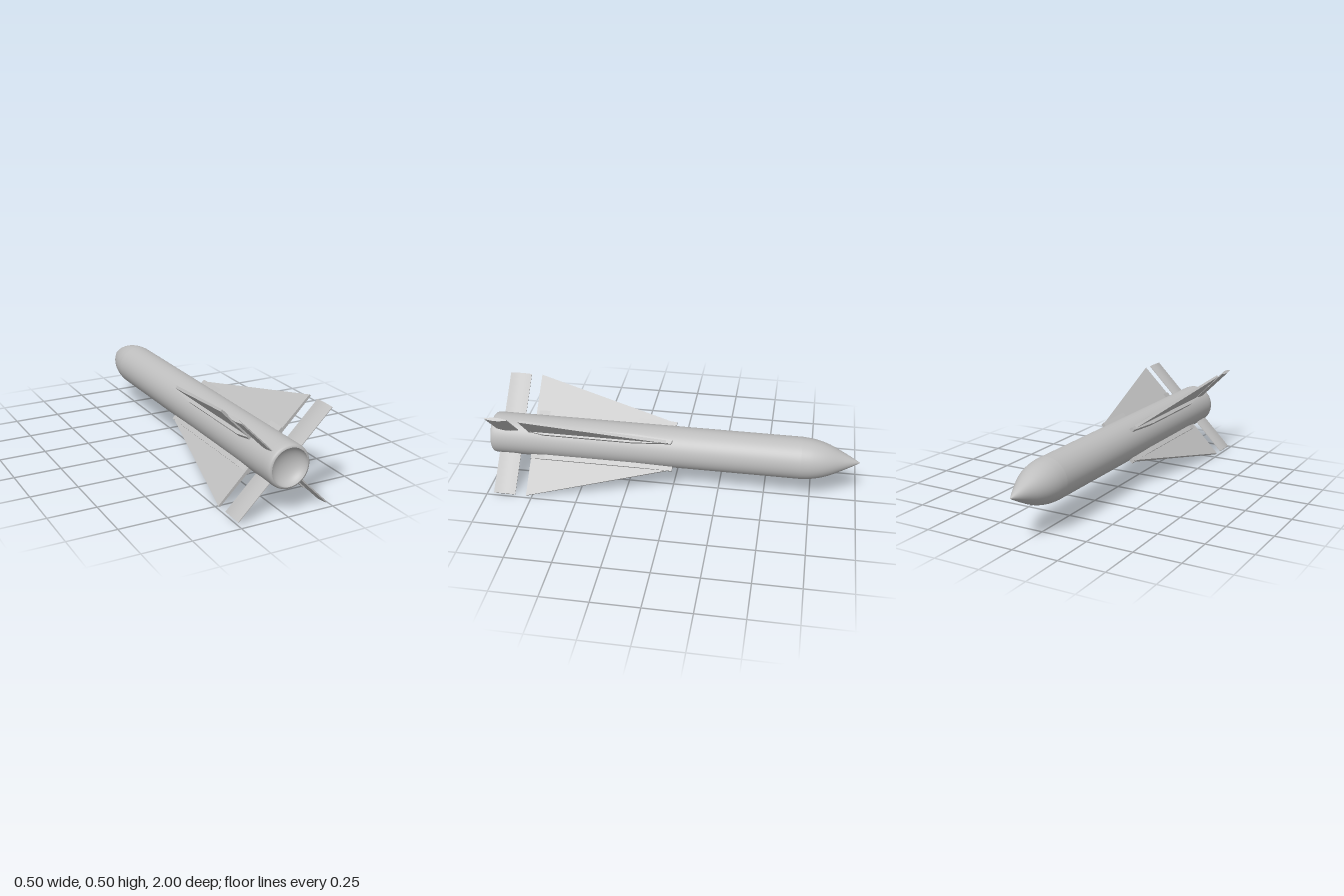
import * as THREE from 'three';
import { toCreasedNormals } from 'three/addons/utils/BufferGeometryUtils.js';

const R = 0.113;      // body radius
const SPAN = 0.342;   // fin tip distance from the axis
const OFFSET = -0.004; // fins sit slightly to one side of their radial line

export function createModel() {
  const grey = new THREE.MeshStandardMaterial({ color: 0xbfbfbf });
  grey.name = 'light grey';
  const missile = new THREE.Group();
  missile.name = 'missile';

  const add = (parent, name, geometry) => {
    const mesh = new THREE.Mesh(geometry, grey);
    mesh.name = name;
    parent.add(mesh);
  };

  // Profile of [z, radius] pairs turned about the long axis
  const turn = (profile) => new THREE.LatheGeometry(
    profile.map(([z, r]) => new THREE.Vector2(r, z)), 64).rotateX(Math.PI / 2);

  // Outline of [z, thickness] pairs stretched outward from radius r0 to r1
  const outward = (outline, r0, r1) => new THREE.ExtrudeGeometry(
    new THREE.Shape(outline.map(([z, t]) => new THREE.Vector2(-z, t))),
    { depth: r1 - r0, bevelEnabled: false }).rotateY(Math.PI / 2).translate(r0, 0, 0);

  // Mirror one side of an outline to close it
  const mirrored = (side) => [...side, ...side.map(([z, t]) => [z, -t]).reverse()];

  // Pointed nose, curving into the straight body
  const nose = new THREE.SplineCurve([
    [0.0005, -1], [0.026, -0.955], [0.054, -0.9], [0.078, -0.85],
    [0.096, -0.8], [0.108, -0.745], [R, -0.69],
  ].map((p) => new THREE.Vector2(...p))).getPoints(24).map((p) => [p.y, p.x]);
  add(missile, 'nose', turn(nose));
  add(missile, 'body', turn([[-0.69, R], [0, R], [0.95, R]]));

  // Rounded tail rim and hollow exhaust bowl
  add(missile, 'tailRim', turn([
    [0.95, R], [0.97, 0.1125], [0.985, 0.111], [0.994, 0.108], [0.999, 0.103], [1, 0.097],
  ]));
  const bowl = [];
  for (let i = 0; i <= 14; i++) {
    const a = (i / 14) * Math.PI / 2;
    bowl.push([1 - 0.06 * Math.sin(a), 0.097 * Math.cos(a)]);
  }
  add(missile, 'exhaustBowl', turn(bowl));

  // Tapered fairing at the root of each large fin
  const fairing = outward(mirrored([
    [-0.005, 0.009], [0.2, 0.023], [0.7, 0.023], [0.78, 0.01],
  ]), 0.08, 0.136);

  // Large swept fin, thinner toward the tip
  const plan = [[0.08, 0], [0.129, 0], [SPAN, 0.78], [0.08, 0.78]];
  const fin = new THREE.ExtrudeGeometry(
    new THREE.Shape(plan.map((p) => new THREE.Vector2(...p))),
    { depth: 2, bevelEnabled: false }).translate(0, 0, -1).rotateX(Math.PI / 2);
  const pos = fin.attributes.position;
  for (let i = 0; i < pos.count; i++) {
    const half = THREE.MathUtils.mapLinear(pos.getX(i), 0.08, SPAN, 0.009, 0.006);
    pos.setY(i, pos.getY(i) * half + OFFSET);
  }
  fin.computeVertexNormals();

  // Small straight tail fin with a curved section
  const section = [];
  for (let i = 0; i <= 12; i++) {
    const u = i / 12;
    section.push([0.842 + 0.12 * u, 0.002 + 0.007 * Math.sin(Math.PI * u)]);
  }
  const tailFin = toCreasedNormals(outward(mirrored(section), 0.09, SPAN), 0.6)
    .translate(0, OFFSET, 0);

  // Four sets in a cross
  for (let i = 0; i < 4; i++) {
    const set = new THREE.Group();
    set.name = `finSet${i + 1}`;
    add(set, 'finFairing', fairing);
    add(set, 'largeFin', fin);
    add(set, 'tailFin', tailFin);
    set.rotation.z = Math.PI / 4 + i * Math.PI / 2;
    missile.add(set);
  }

  missile.position.y = 0.25;
  const model = new THREE.Group();
  model.name = 'model';
  model.add(missile);
  return model;
}
